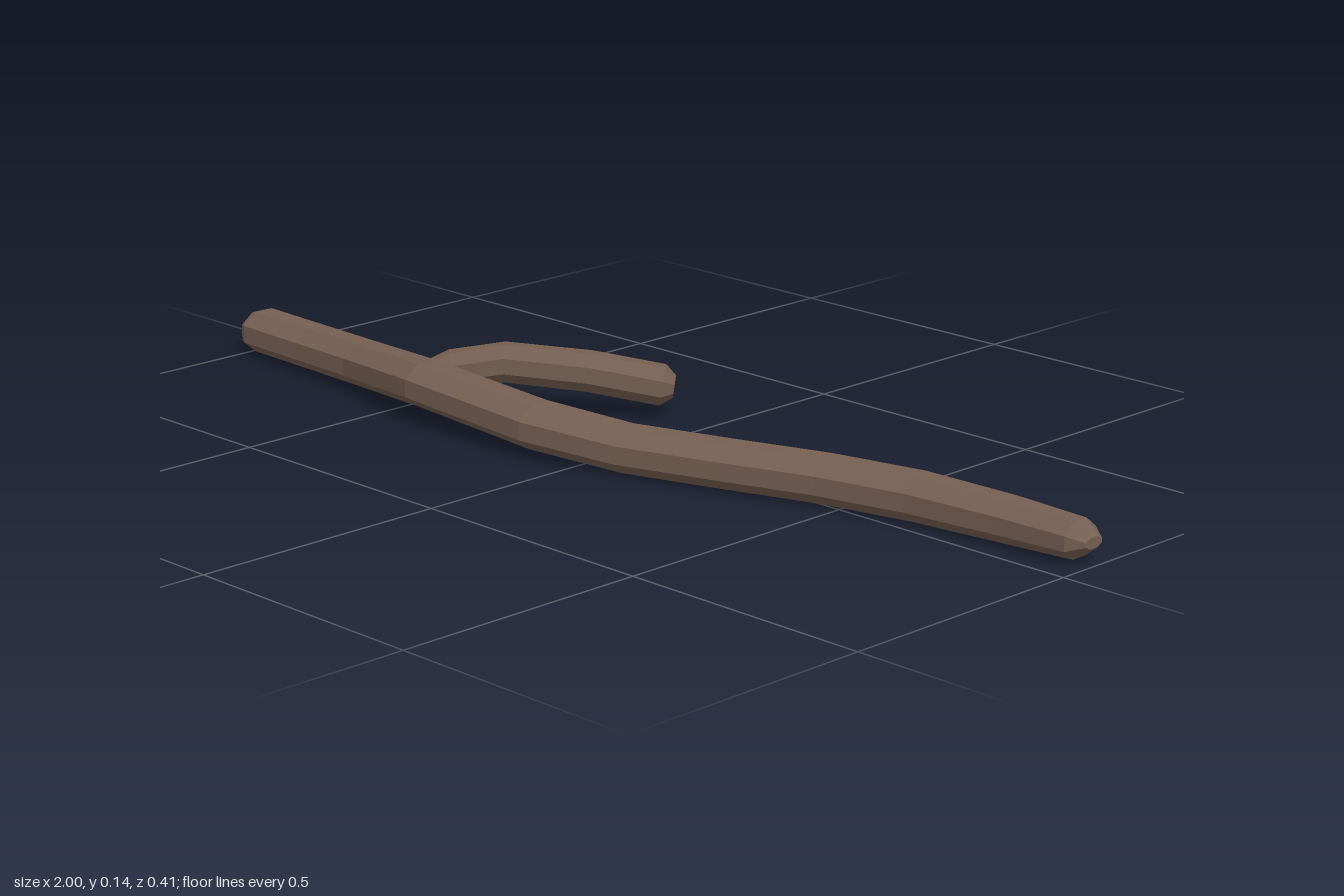
import * as THREE from 'three';

const SIDES = 8;

// Sweeps an octagon along stations [x, y, z, half width, half height], closing both ends.
function limb(name, stations, material) {
  const points = stations.map(([x, y, z]) => new THREE.Vector3(x, y, z));
  const last = points.length - 1;
  const up = new THREE.Vector3(0, 1, 0);
  const corner = 1 / Math.cos(Math.PI / SIDES);
  const positions = [];
  const index = [];

  points.forEach((p, i) => {
    const tangent = points[Math.min(i + 1, last)].clone().sub(points[Math.max(i - 1, 0)]).normalize();
    const side = new THREE.Vector3().crossVectors(up, tangent).normalize();
    const lift = new THREE.Vector3().crossVectors(tangent, side);
    const [, , , halfWidth, halfHeight] = stations[i];
    for (let k = 0; k < SIDES; k++) {
      const a = ((k + 0.5) / SIDES) * Math.PI * 2;
      const v = p.clone()
        .addScaledVector(side, Math.cos(a) * halfWidth * corner)
        .addScaledVector(lift, Math.sin(a) * halfHeight * corner);
      positions.push(v.x, v.y, v.z);
    }
  });

  for (let i = 0; i < last; i++) {
    for (let k = 0; k < SIDES; k++) {
      const a = i * SIDES + k;
      const b = i * SIDES + ((k + 1) % SIDES);
      index.push(a, b, a + SIDES, b, b + SIDES, a + SIDES);
    }
  }
  // End caps
  const end = last * SIDES;
  for (let k = 1; k < SIDES - 1; k++) {
    index.push(0, k + 1, k, end, end + k, end + k + 1);
  }

  const geometry = new THREE.BufferGeometry();
  geometry.setAttribute('position', new THREE.Float32BufferAttribute(positions, 3));
  geometry.setIndex(index);
  const flat = geometry.toNonIndexed();
  flat.computeVertexNormals();
  const mesh = new THREE.Mesh(flat, material);
  mesh.name = name;
  return mesh;
}

export function createModel() {
  const group = new THREE.Group();
  group.name = 'branch';
  const bark = new THREE.MeshStandardMaterial({ color: 0x765f52, flatShading: true });

  // Long winding stem, thick at the cut end and tapering to the tip
  group.add(limb('mainStem', [
    [-1, 0.043, 0.067, 0.044, 0.037],
    [-0.988, 0.043, 0.068, 0.049, 0.041],
    [-0.82, 0.043, 0.074, 0.049, 0.041],
    [-0.65, 0.048, 0.091, 0.05, 0.041],
    [-0.4, 0.072, 0.152, 0.053, 0.041],
    [-0.1, 0.057, 0.152, 0.053, 0.042],
    [0.08, 0.042, 0.103, 0.051, 0.041],
    [0.27, 0.042, 0.042, 0.05, 0.041],
    [0.45, 0.042, -0.02, 0.05, 0.041],
    [0.63, 0.042, -0.06, 0.049, 0.041],
    [0.82, 0.042, -0.075, 0.045, 0.038],
    [0.97, 0.043, -0.077, 0.041, 0.033],
    [1, 0.043, -0.077, 0.021, 0.01],
  ], bark));

  // Side twig arching up and back from the stem
  group.add(limb('sideTwig', [
    [-0.43, 0.075, 0.135, 0.025, 0.025],
    [-0.4, 0.089, 0.092, 0.033, 0.034],
    [-0.33, 0.102, 0.022, 0.033, 0.036],
    [-0.21, 0.088, -0.082, 0.033, 0.037],
    [-0.11, 0.063, -0.175, 0.033, 0.037],
    [-0.094, 0.06, -0.19, 0.02, 0.02],
  ], bark));

  return group;
}
